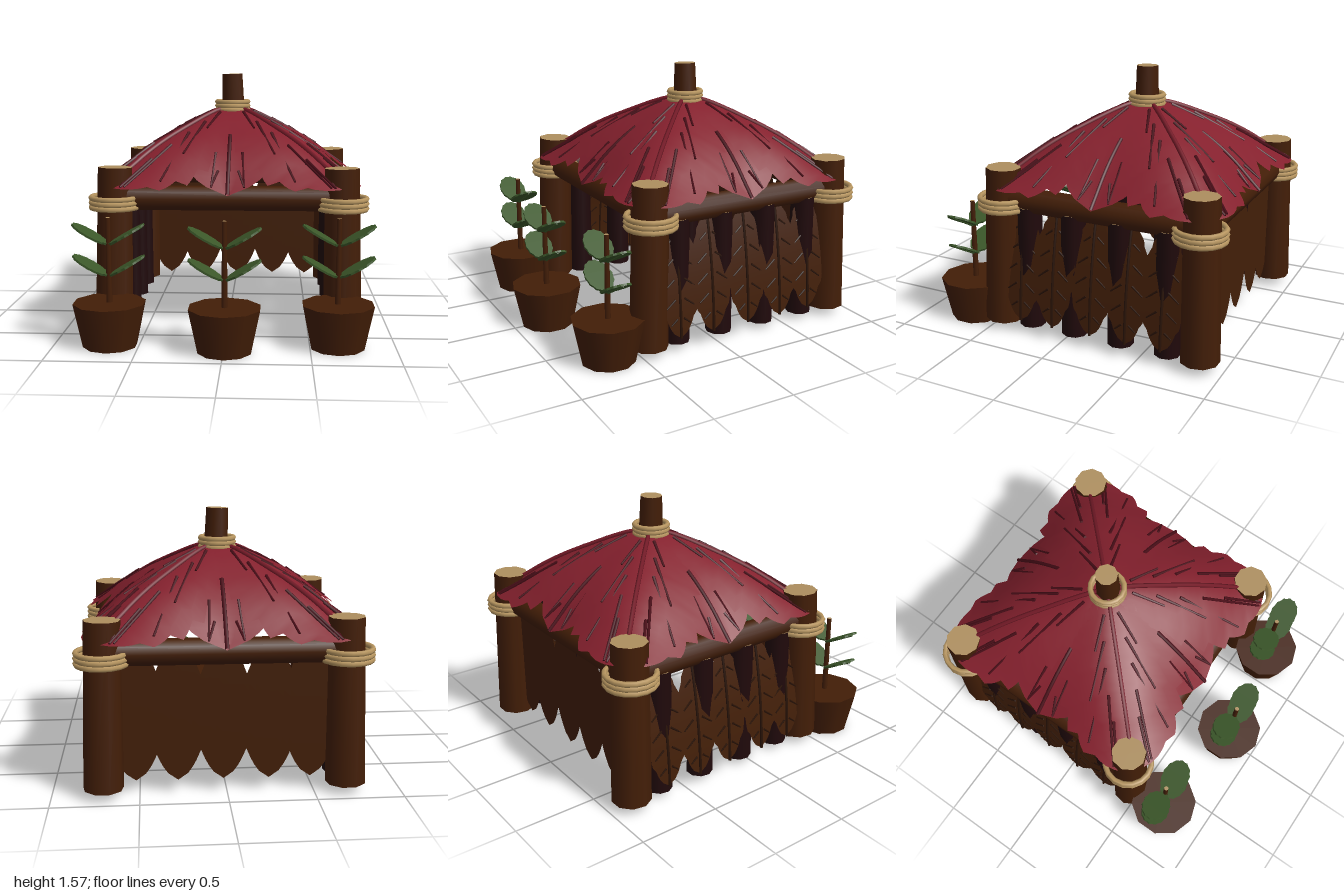
import * as THREE from 'three';

const mat = (name, color, side = THREE.FrontSide) => {
  const m = new THREE.MeshStandardMaterial({ color, side });
  m.name = name;
  return m;
};
const V = (x, y, z) => new THREE.Vector3(x, y, z);
const CZ = -0.21; // centre of the hut in z

export function createModel() {
  const wood = mat('brown wood', 0x431e07);
  const cut = mat('cut wood end', 0xae8f5f);
  const rope = mat('rope', 0xb99761);
  const darkLog = mat('dark log', 0x20090b);
  const redLeaf = mat('red leaf', 0x84202d, THREE.DoubleSide);
  const redRib = mat('red midrib', 0x741a27);
  const redVein = mat('red vein', 0x4a0e18);
  const dryLeaf = mat('dry leaf', 0x431f08, THREE.DoubleSide);
  const dryVein = mat('dry vein', 0x2a1306);
  const green = mat('green leaf', 0x3c582a);

  const model = new THREE.Group();
  const group = (name, parent) => {
    const g = new THREE.Group();
    g.name = name;
    parent.add(g);
    return g;
  };
  const add = (parent, name, geo, material) => {
    const m = new THREE.Mesh(geo, material);
    m.name = name;
    parent.add(m);
    return m;
  };

  // Round stick from a to b, with separate material for its ends
  const stick = (parent, name, a, b, r0, r1, sides, side, ends = side) => {
    const dir = b.clone().sub(a);
    const geo = new THREE.CylinderGeometry(r1, r0, dir.length(), sides);
    const m = add(parent, name, geo, [side, ends, ends]);
    m.position.copy(a).add(b).multiplyScalar(0.5);
    m.quaternion.setFromUnitVectors(V(0, 1, 0), dir.normalize());
  };

  // Three stacked rope loops
  const binding = (parent, x, y, z, R, tube, step) => {
    for (let i = -1; i <= 1; i++) {
      const m = add(parent, 'ropeLoop', new THREE.TorusGeometry(R, tube, 6, 16), rope);
      m.rotation.x = Math.PI / 2;
      m.position.set(x, y + i * step, z);
    }
  };

  // Serrated leaf: map(along, across, lift) places it in space
  const leaf = (parent, name, o) => {
    const { L, W, lobes, notch, map, material, midrib, vein, rib, skew = 1, sweep = 0.35 } = o;
    const g = group(name, parent);
    const rows = lobes * 4, cols = 8, pos = [], idx = [];
    const half = t => W * Math.pow(Math.max(0, Math.sin(Math.PI * t ** skew)), 0.6);
    for (let i = 0; i <= rows; i++) {
      const t = i / rows;
      const w = half(t) * (1 - notch * (1 - (i % 4) / 3));
      for (let j = 0; j <= cols; j++) {
        const p = map(t * L, (j / cols * 2 - 1) * w, 0);
        pos.push(p.x, p.y, p.z);
        if (i < rows && j < cols) {
          const a = i * (cols + 1) + j, b = a + cols + 1;
          idx.push(a, b, a + 1, a + 1, b, b + 1);
        }
      }
    }
    const geo = new THREE.BufferGeometry();
    geo.setAttribute('position', new THREE.Float32BufferAttribute(pos, 3));
    geo.setIndex(idx);
    geo.computeVertexNormals();
    add(g, 'blade', geo, material);
    if (!vein) return;
    const pts = [];
    for (let i = 0; i <= 10; i++) pts.push(map(L * (0.04 + 0.96 * i / 10), 0, rib * 0.4));
    add(g, 'midrib', new THREE.TubeGeometry(new THREE.CatmullRomCurve3(pts), 20, rib, 6), midrib);
    for (let k = 1; k < lobes; k++) {
      const t = k / lobes, w = half(t), tEnd = Math.min(t + w * sweep / L, 0.96);
      const reach = Math.min(w * 0.68, half(tEnd) * 0.8);
      for (const s of [-1, 1]) {
        const a = map(t * L, s * w * 0.22, rib * 0.3);
        const b = map(tEnd * L, s * reach, rib * 0.3);
        stick(g, 'sideVein', a, b, rib * 0.75, rib * 0.5, 5, vein);
      }
    }
  };

  // Corner posts with rope bindings
  const hut = group('hut', model);
  hut.position.x = 0.01;
  const frame = group('frame', hut);
  for (const sx of [-1, 1]) for (const sz of [-1, 1]) {
    const z = CZ + sz * 0.63;
    stick(frame, 'cornerPost', V(sx * 0.695, 0.05, z + sz * 0.02), V(sx * 0.68, 1.02, z),
      0.117, 0.105, 9, wood, cut);
    binding(frame, sx * 0.687, 0.808, z, 0.144, 0.016, 0.029);
  }

  // Beams
  for (const s of [-1, 1]) {
    stick(frame, 'crossBeam', V(-0.66, 0.835, CZ + s * 0.63), V(0.66, 0.835, CZ + s * 0.63),
      0.076, 0.076, 10, wood);
    stick(frame, 'sideBeam', V(s * 0.68, 0.835, CZ - 0.6), V(s * 0.68, 0.835, CZ + 0.6),
      0.076, 0.076, 10, wood);
  }

  // Roof peak
  stick(frame, 'peakPole', V(0.012, 1.15, CZ), V(-0.002, 1.57, CZ + 0.005), 0.08, 0.067, 9, wood, cut);
  binding(frame, 0, 1.362, CZ + 0.003, 0.102, 0.016, 0.026);

  // Roof height: rounded square tent whose sides sag between the corners
  const prof = [[0, 1.345], [0.1, 1.325], [0.21, 1.28], [0.42, 1.175], [0.52, 1.115], [0.6, 1.06],
    [0.68, 0.998], [0.76, 0.945], [0.85, 0.89], [1, 0.78]];
  const height = (x, z) => {
    const m = (x ** 4 + z ** 4) ** 0.25;
    let i = 0;
    while (i < prof.length - 2 && m > prof[i + 1][0]) i++;
    const [[m0, y0], [m1, y1]] = [prof[i], prof[i + 1]];
    const ax = Math.abs(x), az = Math.abs(z);
    const off = 1 - Math.min(ax, az) / Math.max(ax, az, 1e-6);
    return y0 + (y1 - y0) * (m - m0) / (m1 - m0) - 0.085 * (m / 0.74) ** 3 * off ** 1.5;
  };
  const roof = group('leafRoof', hut);
  for (let k = 0; k < 8; k++) {
    const corner = k % 2 === 1, ang = k * Math.PI / 4;
    const c = Math.cos(ang), s = Math.sin(ang);
    leaf(roof, corner ? 'cornerRoofLeaf' : 'edgeRoofLeaf', {
      L: corner ? 1 : 0.74, W: corner ? 0.375 : 0.37, lobes: corner ? 7 : 6, notch: corner ? 0.14 : 0.1,
      skew: 1.2, sweep: 1, material: redLeaf, midrib: corner ? redRib : redVein,
      vein: redVein, rib: corner ? 0.014 : 0.012,
      map: (a, p, lift) => {
        const x = a * c - p * s, z = a * s + p * c;
        return V(x * 1.04, height(x, z) + lift + (corner ? 0.01 : -0.01), z + CZ);
      },
    });
  }

  // Side walls: dark logs behind hanging leaves that bow outwards
  for (const sx of [-1, 1]) {
    const wall = group('sideWall', hut);
    for (const z of [0.245, -0.05, -0.355, -0.655])
      stick(wall, 'wallLog', V(sx * 0.68, 0.04, z), V(sx * 0.68, 0.8, z), 0.08, 0.073, 9, darkLog, cut);
    [0.27, 0.05, -0.2, -0.43, -0.65].forEach((z, i) => leaf(wall, 'wallLeaf', {
      L: 0.71, W: 0.147, lobes: 6, notch: 0.1, material: dryLeaf,
      midrib: dryVein, vein: dryVein, rib: 0.009,
      map: (a, p, lift) =>
        V(sx * (0.676 + 0.25 * a - 0.15 * a * a + (i % 2) * 0.006 + lift), 0.805 - a, z + p),
    }));
  }

  // Back wall of overlapping plain leaves
  const back = group('backWall', hut);
  [-0.49, -0.25, 0.01, 0.27, 0.51].forEach((x, i) => leaf(back, 'backLeaf', {
    L: 0.8, W: 0.172, lobes: 5, notch: 0.02, material: dryLeaf,
    map: (a, p) => V(x + p, 0.88 - a, CZ - 0.63 - (i % 2) * 0.006),
  }));

  // Potted plants
  const bladeShape = new THREE.Shape();
  for (let i = 0; i < 28; i++) {
    const a = i / 28 * Math.PI * 2, r = i % 2 ? 1 : 0.95;
    bladeShape[i ? 'lineTo' : 'moveTo'](0.128 + 0.118 * r * Math.cos(a), 0.085 * r * Math.sin(a));
  }
  const bladeGeo = new THREE.ExtrudeGeometry(bladeShape, { depth: 0.012, bevelEnabled: false });
  bladeGeo.rotateX(-Math.PI / 2);
  for (const [x, z] of [[-0.67, 0.7], [0.007, 0.785], [0.66, 0.68]]) {
    const plant = group('pottedPlant', model);
    plant.position.set(x, 0, z);
    const pot = add(plant, 'pot', new THREE.CylinderGeometry(0.215, 0.16, 0.26, 10), wood);
    pot.position.y = 0.13;
    stick(plant, 'stem', V(0, 0.25, 0), V(0, 0.76, 0), 0.018, 0.014, 7, wood, cut);
    for (const y of [0.41, 0.595]) for (const turn of [0, Math.PI]) {
      const side = group('leafSide', plant);
      side.rotation.y = turn;
      side.position.y = y;
      const blade = add(side, 'greenLeaf', bladeGeo, green);
      blade.rotation.z = 0.52;
      stick(side, 'leafStalk', V(0, 0, 0), V(0.2, 0.112, 0), 0.008, 0.005, 5, green);
    }
  }
  return model;
}
